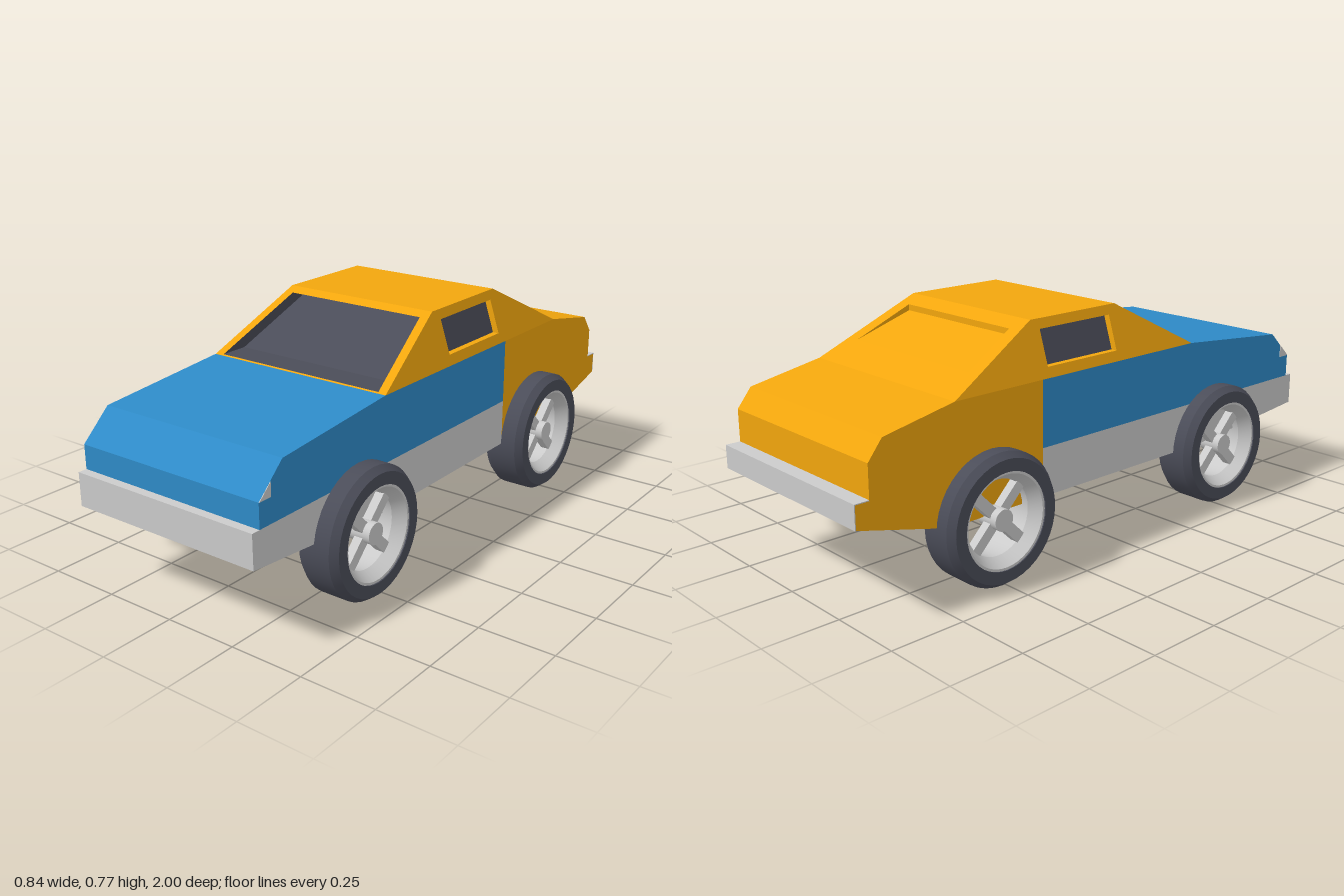
import * as THREE from 'three';
import { mergeGeometries, toCreasedNormals } from 'three/addons/utils/BufferGeometryUtils.js';

const paint = (color) => new THREE.MeshStandardMaterial({ color });
const GREY = paint(0xcccccc), ORANGE = paint(0xf2a60d), BLUE = paint(0x2e8bc8), DARK = paint(0x4b4d59);
const HALF = 0.348; // half width of the body

function part(name, geometry, material) {
  const mesh = new THREE.Mesh(geometry, material);
  mesh.name = name;
  return mesh;
}

// Side outline of [z, y] points extruded across the car
function slab(name, outline, material, width = 2 * HALF, x = 0) {
  const shape = new THREE.Shape(outline.map(([z, y]) => new THREE.Vector2(z, y)));
  const geo = new THREE.ExtrudeGeometry(shape, { depth: width, bevelEnabled: false });
  geo.rotateY(-Math.PI / 2).translate(x + width / 2, 0, 0);
  return part(name, geo, material);
}

// Flat panels from four-cornered faces, counter-clockwise from outside
function panels(name, quads, material) {
  const pos = quads.flatMap(([a, b, c, d]) => [a, b, c, a, c, d].flat());
  const geo = new THREE.BufferGeometry();
  geo.setAttribute('position', new THREE.Float32BufferAttribute(pos, 3));
  geo.computeVertexNormals();
  return part(name, geo, material);
}

// Panel with a sunken pane: outer corners, opening corners, pane corners
function framed(name, outer, inner, pane, paneMat, wallMat) {
  const group = new THREE.Group();
  group.name = name;
  const ring = (a, b) => a.map((p, i) => [p, a[(i + 1) % 4], b[(i + 1) % 4], b[i]]);
  group.add(
    panels(name + 'Frame', ring(outer, inner), ORANGE),
    panels(name + 'Recess', ring(inner, pane), wallMat),
    panels(name + 'Pane', [pane], paneMat));
  return group;
}

const flip = (corners) => corners.map(([x, y, z]) => [-x, y, z]).reverse();

function createCabin() {
  const cabin = new THREE.Group();
  cabin.name = 'cabin';
  const base = 0.597, top = 0.773, roof = 0.29;

  // Windshield
  const screen = [[-0.317, 0.6, 0.394], [0.317, 0.6, 0.394], [0.263, 0.757, 0.1], [-0.263, 0.757, 0.1]];
  cabin.add(framed('windshield',
    [[-HALF, base, 0.4], [HALF, base, 0.4], [roof, top, 0.07], [-roof, top, 0.07]],
    screen, screen.map(([x, y, z]) => [x, y, z - 0.1]), DARK, DARK));

  // Rear slope with a panel that sinks towards its top edge
  const hatch = [[0.283, 0.6506, -0.54], [-0.283, 0.6506, -0.54], [-0.25, 0.7475, -0.35], [0.25, 0.7475, -0.35]];
  cabin.add(framed('rearHatch',
    [[HALF, base, -0.645], [-HALF, base, -0.645], [-roof, top, -0.3], [roof, top, -0.3]],
    hatch, hatch.map(([x, y, z], i) => [x, i > 1 ? y - 0.02 : y, z]), ORANGE, ORANGE));

  // Sides with windows
  const sideX = (y) => HALF - (HALF - roof) * (y - base) / (top - base);
  const side = [[HALF, base, 0.4], [HALF, base, -0.645], [roof, top, -0.3], [roof, top, 0.07]];
  const opening = [[0.63, 0.035], [0.63, -0.27], [0.742, -0.27], [0.742, 0.035]]
    .map(([y, z]) => [sideX(y), y, z]);
  const glass = opening.map(([x, y, z]) => [x - 0.022, y, z]);
  cabin.add(framed('leftWindow', side, opening, glass, DARK, ORANGE));
  cabin.add(framed('rightWindow', flip(side), flip(opening), flip(glass), DARK, ORANGE));

  cabin.add(panels('roof',
    [[[-roof, top, 0.07], [roof, top, 0.07], [roof, top, -0.3], [-roof, top, -0.3]]], ORANGE));
  return cabin;
}

// Ring of revolution about the x axis, from a closed [radius, x] outline
function ring(outline) {
  const pts = [...outline, outline[0]].map(([r, x]) => new THREE.Vector2(r, x));
  const geo = new THREE.LatheGeometry(pts, 40).rotateZ(-Math.PI / 2);
  return toCreasedNormals(geo, 0.5);
}

function createWheel(name) {
  const wheel = new THREE.Group();
  wheel.name = name;
  wheel.add(part('tire', ring([
    [0.156, -0.074], [0.196, -0.074], [0.213, -0.05], [0.213, 0.05], [0.196, 0.074], [0.156, 0.074],
  ]), DARK));
  wheel.add(part('rim', ring([
    [0.122, -0.07], [0.158, -0.07], [0.158, 0.07], [0.148, 0.07], [0.122, 0.03],
  ]), GREY));

  // Hub and four diagonal spokes
  wheel.add(part('hub', new THREE.CylinderGeometry(0.035, 0.035, 0.08, 24)
    .rotateZ(Math.PI / 2).translate(0.02, 0, 0), GREY));
  const spokes = [];
  for (let i = 0; i < 4; i++) {
    spokes.push(new THREE.BoxGeometry(0.03, 0.11, 0.036)
      .translate(0.02, 0.075, 0).rotateX(Math.PI / 4 + i * Math.PI / 2));
  }
  wheel.add(part('spokes', mergeGeometries(spokes), GREY));
  return wheel;
}

export function createModel() {
  const model = new THREE.Group();
  model.name = 'car';
  const body = new THREE.Group();
  body.name = 'body';
  body.position.x = -0.005;
  model.add(body);

  body.add(slab('chassis',
    [[1, 0.378], [1, 0.267], [0.45, 0.218], [-0.3, 0.218], [-0.3, 0.378]], GREY));
  body.add(slab('frontBody',
    [[0.97, 0.378], [0.97, 0.458], [0.87, 0.553], [0.4, 0.597], [-0.3, 0.597], [-0.3, 0.378]], BLUE));
  body.add(slab('rearBody',
    [[-0.3, 0.218], [-0.67, 0.218], [-0.997, 0.302], [-0.997, 0.376], [-0.95, 0.376],
      [-0.95, 0.485], [-0.9, 0.548], [-0.645, 0.597], [-0.3, 0.597]], ORANGE));
  body.add(slab('rearBumper',
    [[-0.95, 0.376], [-0.95, 0.379], [-1, 0.379], [-1, 0.302], [-0.997, 0.302], [-0.997, 0.376]], GREY));

  // Small corner lamps on the flanks
  for (const s of [-1, 1]) {
    body.add(slab(s > 0 ? 'leftLamp' : 'rightLamp',
      [[0.97, 0.458], [0.922, 0.458], [0.922, 0.503]], GREY, 0.004, s * HALF));
  }
  body.add(createCabin());

  // Wheels
  for (const [end, z] of [['front', 0.535], ['rear', -0.51]]) {
    for (const s of [-1, 1]) {
      const wheel = createWheel(end + (s > 0 ? 'Left' : 'Right') + 'Wheel');
      wheel.position.set(s * 0.348, 0.213, z);
      if (s < 0) wheel.rotation.y = Math.PI;
      model.add(wheel);
    }
  }
  return model;
}
